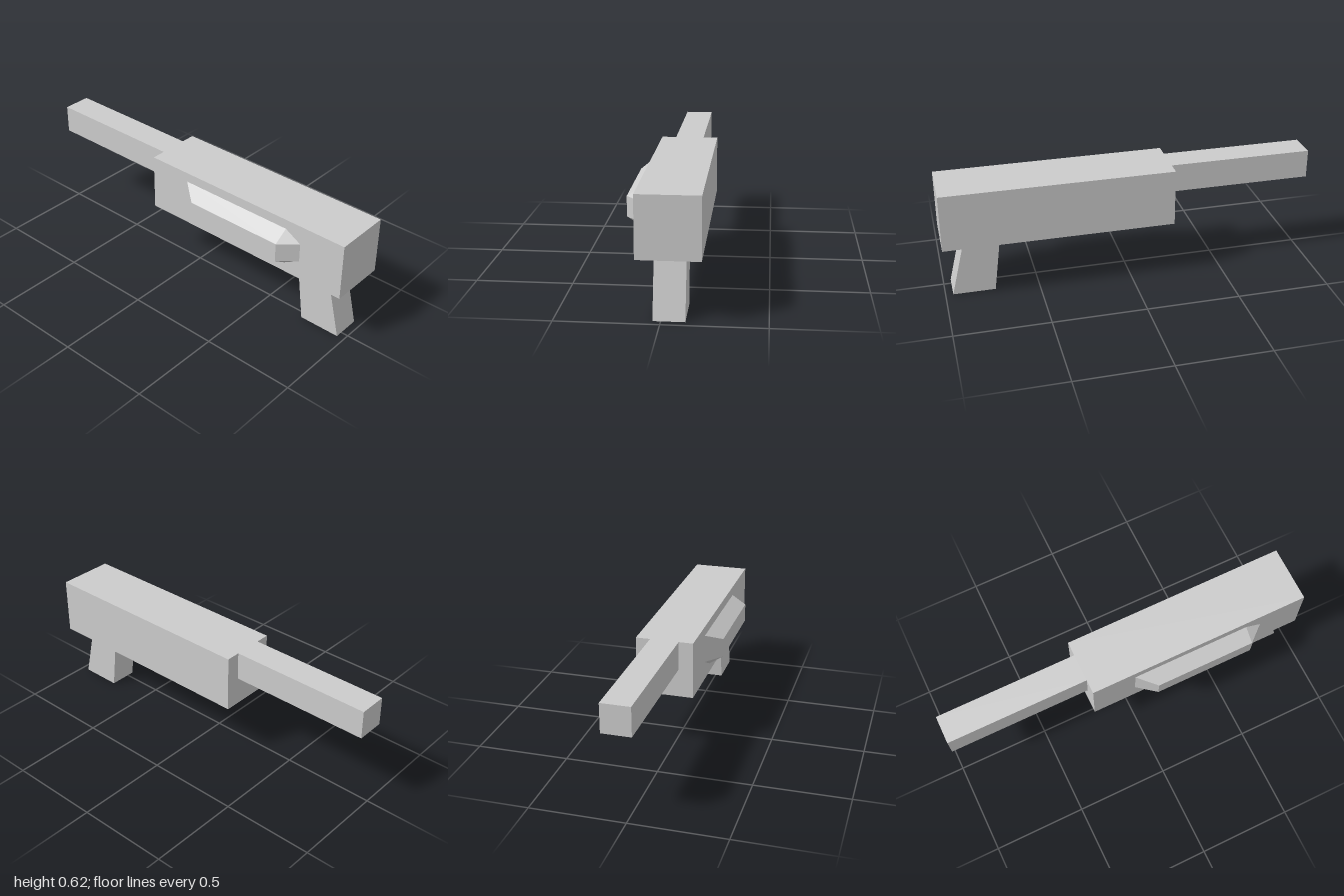
import * as THREE from 'three';
import { ConvexGeometry } from 'three/addons/geometries/ConvexGeometry.js';

const material = new THREE.MeshStandardMaterial({ color: 0xcccccc, flatShading: true });

function addPart(group, name, geometry) {
  const mesh = new THREE.Mesh(geometry, material);
  mesh.name = name;
  group.add(mesh);
  return mesh;
}

// Box given by its lower and upper corners
function addBox(group, name, min, max) {
  const size = max.map((v, i) => v - min[i]);
  const mesh = addPart(group, name, new THREE.BoxGeometry(...size));
  mesh.position.set(...max.map((v, i) => (v + min[i]) / 2));
}

export function createModel() {
  const group = new THREE.Group();

  // Long body, with the narrower barrel flush with its top at the back
  addBox(group, 'body', [-0.115, 0.309, -0.23], [0.192, 0.617, 1]);
  addBox(group, 'barrel', [-0.038, 0.463, -1], [0.115, 0.617, -0.23]);

  // Tapered, slanted grip: side profile (z, y) extruded across x
  const profile = new THREE.Shape([
    [0.96, 0], [0.885, 0.309], [0.695, 0.309], [0.735, 0],
  ].map(([z, y]) => new THREE.Vector2(-z, y)));
  const grip = new THREE.ExtrudeGeometry(profile, { depth: 0.153, bevelEnabled: false });
  grip.rotateY(Math.PI / 2).translate(-0.038, 0, 0);
  addPart(group, 'grip', grip);

  // Raised side panel: flat outer face sloping in to the body, corners cut
  const inner = -0.115, outer = -0.193;
  const points = [new THREE.Vector3(inner, 0.565, 0.01)];
  for (const [y, yBase] of [[0.412, 0.361], [0.514, 0.565]]) {
    for (const [z, zBase] of [[0.11, 0.01], [0.66, 0.75]]) {
      points.push(
        new THREE.Vector3(outer, y, z),
        new THREE.Vector3(inner, yBase, z),
        new THREE.Vector3(inner, y, zBase),
      );
    }
  }
  addPart(group, 'sidePanel', new ConvexGeometry(points));

  return group;
}
